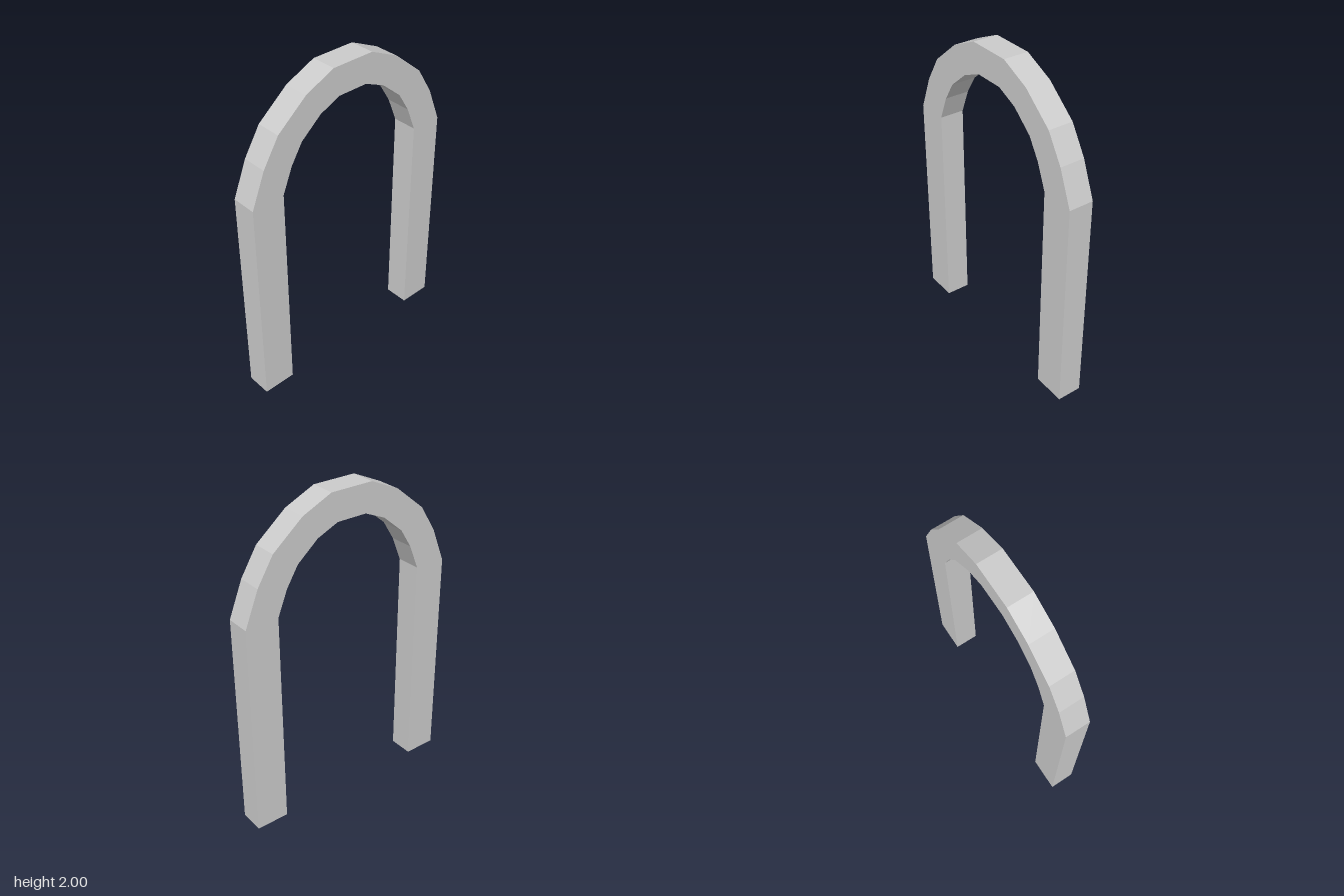
import * as THREE from 'three';

const DEPTH = 0.155;

// Right-hand halves of the two outlines, from the foot up to the crown
const OUTER = [[0.707, 0], [0.707, 1.373], [0.62, 1.59], [0.517, 1.757], [0.325, 1.915], [0.137, 2]];
const INNER = [[0.5, 0], [0.5, 1.38], [0.437, 1.535], [0.363, 1.655], [0.23, 1.767], [0.096, 1.825]];

// Mirror a half outline into a full run from the +x foot to the -x foot
const fullRun = (half) => [...half, ...half.map(([x, y]) => [-x, y]).reverse()];

export function createModel() {
  const model = new THREE.Group();
  model.name = 'arch';

  // Faceted arch: outer run, then back along the inner run
  const outline = [...fullRun(OUTER), ...fullRun(INNER).reverse()];
  const shape = new THREE.Shape(outline.map(([x, y]) => new THREE.Vector2(x, y)));
  const geometry = new THREE.ExtrudeGeometry(shape, { depth: DEPTH, bevelEnabled: false });
  geometry.translate(0, 0, -DEPTH / 2);

  const material = new THREE.MeshStandardMaterial({ color: 0xcccccc, flatShading: true });
  const frame = new THREE.Mesh(geometry, material);
  frame.name = 'archFrame';
  model.add(frame);
  return model;
}
